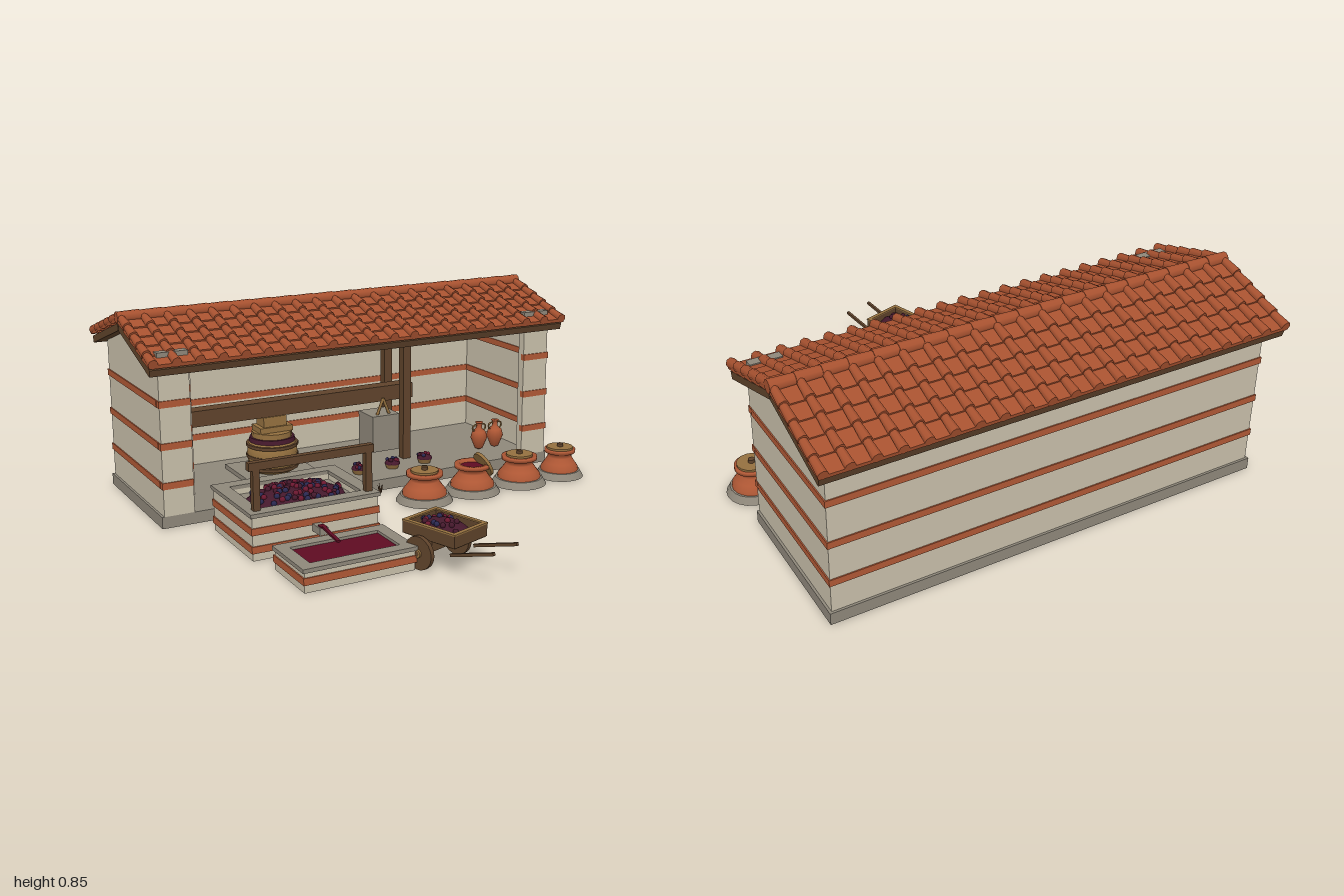
import * as THREE from 'three';

const mat = (name, color) => Object.assign(new THREE.MeshStandardMaterial({ color }), { name });
const M = {
  wall: mat('plaster', 0xc8bfaa), stone: mat('stone', 0x8e877a), tile: mat('roofTile', 0xa85230),
  clay: mat('clay', 0xb05835), dark: mat('darkWood', 0x5f432b), wood: mat('lightWood', 0x94703f),
  wine: mat('wine', 0x5e0b22), must: mat('grapeHeap', 0x45192c), blue: mat('blueGrape', 0x2a2850), red: mat('redGrape', 0x6c1830),
};

function add(parent, name, geo, material, x = 0, y = 0, z = 0) {
  const m = new THREE.Mesh(geo, material);
  m.name = name;
  m.position.set(x, y, z);
  parent.add(m);
  return m;
}
// Box given by its limits
const box = (p, name, m, x0, x1, y0, y1, z0, z1) =>
  add(p, name, new THREE.BoxGeometry(x1 - x0, y1 - y0, z1 - z0), m, (x0 + x1) / 2, (y0 + y1) / 2, (z0 + z1) / 2);
const cyl = (p, name, m, rTop, rBot, h, x, y, z, n = 16) =>
  add(p, name, new THREE.CylinderGeometry(rTop, rBot, h, n), m, x, y, z);
// Rectangular frame of four boxes
function frame(p, name, m, x0, x1, y0, y1, z0, z1, t) {
  box(p, name, m, x0, x1, y0, y1, z0, z0 + t);
  box(p, name, m, x0, x1, y0, y1, z1 - t, z1);
  box(p, name, m, x0, x0 + t, y0, y1, z0 + t, z1 - t);
  box(p, name, m, x1 - t, x1, y0, y1, z0 + t, z1 - t);
}
function group(parent, name, x = 0, y = 0, z = 0) {
  const g = new THREE.Group();
  g.name = name;
  g.position.set(x, y, z);
  parent.add(g);
  return g;
}
let seed = 7;
const rnd = () => (seed = (seed * 16807) % 2147483647) / 2147483647;

// Low-poly mound with loose grapes scattered on it
function grapes(p, x, y, z, rx, ry, rz, count, size) {
  const heap = add(p, 'grapeHeap', new THREE.SphereGeometry(1, 16, 6, 0, Math.PI * 2, 0, Math.PI / 2), M.must, x, y, z);
  heap.scale.set(rx, ry, rz);
  const geo = new THREE.IcosahedronGeometry(size, 1);
  for (let i = 0; i < count; i++) {
    const a = rnd() * Math.PI * 2, r = Math.sqrt(rnd()) * 0.92;
    add(p, 'grape', geo, [M.blue, M.red, M.must][i % 3],
      x + rx * r * Math.cos(a), y + ry * Math.sqrt(1 - r * r) + size * 0.3, z + rz * r * Math.sin(a));
  }
}

const BANDS = [0.18, 0.345, 0.52];

function buildHouse(root) {
  const g = group(root, 'house');
  box(g, 'plinth', M.stone, -0.95, 0.95, 0, 0.05, -0.89, -0.22);
  box(g, 'backWall', M.wall, -0.94, 0.94, 0.05, 0.67, -0.88, -0.83);
  // Gable outline in z and y
  const s = new THREE.Shape([[0.24, 0.05], [0.88, 0.05], [0.88, 0.67], [0.56, 0.775], [0.24, 0.67]]
    .map(([z, y]) => new THREE.Vector2(z, y)));
  const gable = new THREE.ExtrudeGeometry(s, { depth: 0.05, bevelEnabled: false });
  gable.rotateY(Math.PI / 2);
  for (const k of [-1, 1]) {
    add(g, 'gableWall', gable, M.wall, k > 0 ? 0.89 : -0.94);
    const [a, b] = k > 0 ? [0.81, 0.94] : [-0.94, -0.81];
    box(g, 'frontReturn', M.wall, a, b, 0.05, 0.7, -0.26, -0.22);
    box(g, 'returnCap', M.stone, a, b, 0.7, 0.73, -0.26, -0.222);
  }
  box(g, 'beamPier', M.wall, -0.89, -0.73, 0.05, 0.67, -0.66, -0.43);
  // Brick courses
  for (const y of BANDS) {
    const y0 = y - 0.014, y1 = y + 0.014;
    box(g, 'brickBand', M.clay, -0.945, 0.945, y0, y1, -0.885, -0.825);
    box(g, 'brickBand', M.clay, -0.89, -0.732, y0, y1, -0.5, -0.425);
    for (const k of [-1, 1]) {
      box(g, 'brickBand', M.clay, k * 0.915 - 0.03, k * 0.915 + 0.03, y0, y1, -0.83, -0.245);
      box(g, 'brickBand', M.clay, k * 0.877 - 0.067, k * 0.877 + 0.067, y0, y1, -0.24, -0.215);
    }
  }
}

function buildRoof(root) {
  const roof = group(root, 'roof', 0, 0.765, -0.56);
  const rows = 5, len = 0.394, step = len / rows;
  const roll = new THREE.CylinderGeometry(0.021, 0.016, step + 0.012, 8).rotateX(Math.PI / 2);
  for (const side of [0, Math.PI]) {
    const turn = group(roof, 'roofSide');
    turn.rotation.y = side;
    const slope = group(turn, 'roofSlope');
    slope.rotation.x = 0.31;
    box(slope, 'roofBoards', M.dark, -0.985, 0.985, 0, 0.03, 0, len);
    for (let r = 0; r < rows; r++) {
      const z = (r + 0.5) * step;
      const pan = add(slope, 'tileCourse', new THREE.BoxGeometry(1.98, 0.016, step + 0.012), M.tile, 0, 0.044, z);
      pan.rotation.x = -0.08;
      for (let i = 0; i <= 20; i++) {
        const t = add(slope, 'coverTile', roll, M.tile, -0.975 + i * 0.0975, 0.056, z);
        t.rotation.x = -0.05;
      }
    }
  }
  // Ridge tiles
  for (let i = 0; i < 20; i++) {
    const t = cyl(roof, 'ridgeTile', M.tile, 0.027, 0.024, 0.1, -0.9425 + i * 0.0992, 0.055, 0, 10);
    t.rotation.z = -Math.PI / 2;
  }
}

function buildPress(root) {
  const g = group(root, 'leverPress');
  box(g, 'pressBeam', M.dark, -0.76, 0.39, 0.32, 0.39, -0.585, -0.515);
  for (const z of [-0.64, -0.46]) box(g, 'beamPost', M.dark, 0.298, 0.338, 0.05, 0.68, z - 0.02, z + 0.02);
  box(g, 'pressBed', M.stone, -0.48, -0.15, 0.05, 0.07, -0.71, -0.39);
  box(g, 'pressSpout', M.stone, -0.36, -0.27, 0.05, 0.065, -0.39, -0.31);
  // Slatted basket
  const prof = [[0, 0.07], [0.095, 0.07], [0.115, 0.135], [0.105, 0.205], [0, 0.205]].map(([x, y]) => new THREE.Vector2(x, y));
  add(g, 'pressBasket', new THREE.LatheGeometry(prof, 16), M.wood, -0.315, 0, -0.55);
  for (const y of [0.09, 0.14, 0.19]) cyl(g, 'basketHoop', M.dark, 0.117, 0.117, 0.014, -0.315, y, -0.55);
  cyl(g, 'pomace', M.must, 0.1, 0.104, 0.02, -0.315, 0.215, -0.55);
  cyl(g, 'pressLid', M.wood, 0.09, 0.09, 0.025, -0.315, 0.237, -0.55);
  box(g, 'pressBlock', M.wood, -0.39, -0.235, 0.25, 0.275, -0.6, -0.5);
  box(g, 'pressBlock', M.wood, -0.37, -0.26, 0.275, 0.32, -0.59, -0.51);
  // Hanging counterweight
  box(g, 'counterweight', M.stone, 0.16, 0.3, 0.09, 0.26, -0.62, -0.48);
  for (const k of [-1, 1]) {
    const r = cyl(g, 'weightRope', M.wood, 0.007, 0.007, 0.09, 0.23 + k * 0.017, 0.292, -0.51, 6);
    r.rotation.z = k * 0.4;
  }
  // Grape baskets and storage jars on the floor
  for (const x of [0.02, 0.19, 0.36]) {
    cyl(g, 'grapeBasket', M.wood, 0.036, 0.026, 0.025, x, 0.06, -0.35, 10);
    grapes(g, x, 0.07, -0.35, 0.036, 0.02, 0.036, 10, 0.009);
  }
  const jar = [[0, 0.05], [0.02, 0.06], [0.04, 0.11], [0.032, 0.14], [0.014, 0.155], [0.014, 0.18], [0.02, 0.185], [0, 0.185]]
    .map(([x, y]) => new THREE.Vector2(x, y));
  for (const x of [0.69, 0.78]) {
    add(g, 'amphora', new THREE.LatheGeometry(jar, 12), M.clay, x, 0, -0.4);
    for (const k of [-1, 1]) add(g, 'amphoraHandle', new THREE.TorusGeometry(0.016, 0.004, 5, 10), M.wood, x + k * 0.021, 0.158, -0.4);
  }
}

// Banded masonry vat with a stone rim
function vat(g, x0, x1, z0, z1, h, rim, bands, fill) {
  frame(g, 'vatWall', M.wall, x0 + 0.008, x1 - 0.008, 0, h - 0.016, z0 + 0.008, z1 - 0.008, rim - 0.012);
  frame(g, 'vatRim', M.stone, x0, x1, h - 0.016, h, z0, z1, rim);
  box(g, 'vatFloor', M.stone, x0 + 0.02, x1 - 0.02, 0.002, fill, z0 + 0.02, z1 - 0.02);
  for (const y of bands) frame(g, 'vatBand', M.clay, x0 + 0.003, x1 - 0.003, y - 0.014, y + 0.014, z0 + 0.003, z1 - 0.003, 0.01);
}

function buildVats(root) {
  const g = group(root, 'treadingVats');
  vat(g, -0.775, -0.22, -0.12, 0.29, 0.19, 0.058, [0.045, 0.118], 0.15);
  grapes(g, -0.497, 0.15, 0.085, 0.215, 0.045, 0.143, 100, 0.012);
  // Hand rail
  for (const x of [-0.735, -0.255]) box(g, 'railPost', M.dark, x - 0.014, x + 0.014, 0.19, 0.36, 0.231, 0.259);
  box(g, 'handRail', M.dark, -0.765, -0.233, 0.35, 0.382, 0.231, 0.259);
  // Spout and juice stream
  box(g, 'spout', M.stone, -0.518, -0.482, 0.08, 0.11, 0.285, 0.35);
  box(g, 'juice', M.wine, -0.512, -0.488, 0.109, 0.115, 0.32, 0.352);
  const j = box(g, 'juiceStream', M.wine, -0.507, -0.493, 0.1, 0.108, 0.345, 0.475);
  j.rotation.x = 0.12;
  vat(g, -0.735, -0.265, 0.388, 0.66, 0.095, 0.05, [0.045], 0.06);
  box(g, 'wineSurface', M.wine, -0.687, -0.313, 0.06, 0.084, 0.436, 0.612);
}

function buildJars(root) {
  const pts = [[0.098, 0.02], [0.096, 0.045], [0.08, 0.065], [0.062, 0.09], [0.06, 0.105], [0.08, 0.112], [0.08, 0.128], [0.055, 0.128], [0.055, 0.1]];
  const lathe = new THREE.LatheGeometry(pts.map(([x, y]) => new THREE.Vector2(x, y)), 20);
  [[0.165, 0.125], [0.41, 0.125], [0.66, 0.125], [0.885, 0.11]].forEach(([x, r], i) => {
    const g = group(root, 'buriedJar', x, 0, -0.02);
    cyl(g, 'stoneCollar', M.stone, r * 0.85, r, 0.03, 0, 0.015, 0, 20);
    const body = add(g, 'jarShoulder', lathe, M.clay);
    body.scale.set(r * 8, 1, r * 8);
    const lid = group(g, 'jarLid', 0, 0.13, 0);
    cyl(lid, 'lidBoard', M.wood, 0.06, 0.06, 0.014, 0, 0, 0, 18);
    cyl(lid, 'lidKnob', M.dark, 0.014, 0.014, 0.018, 0, 0.012, 0, 8);
    if (i === 1) {
      cyl(g, 'jarWine', M.wine, 0.056, 0.056, 0.008, 0, 0.112, 0, 18);
      lid.position.set(0.052, 0.118, 0.01);
      lid.rotation.z = -1.1;
    }
  });
}

function buildCart(root) {
  const g = group(root, 'cart', -0.143, 0, 0.65);
  g.rotation.y = 0.31;
  box(g, 'cartBed', M.wood, -0.09, 0.09, 0.115, 0.128, -0.125, 0.125);
  frame(g, 'cartSide', M.dark, -0.094, 0.094, 0.118, 0.168, -0.128, 0.128, 0.012);
  frame(g, 'cartSideTop', M.wood, -0.096, 0.096, 0.166, 0.172, -0.13, 0.13, 0.018);
  grapes(g, 0, 0.13, 0, 0.075, 0.05, 0.115, 22, 0.011);
  const axle = cyl(g, 'axle', M.dark, 0.01, 0.01, 0.25, 0, 0.066, -0.03, 8);
  axle.rotation.z = Math.PI / 2;
  box(g, 'axleBlock', M.dark, -0.06, 0.06, 0.06, 0.116, -0.05, -0.01);
  for (const k of [-1, 1]) {
    cyl(g, 'wheel', M.dark, 0.066, 0.066, 0.018, k * 0.108, 0.066, -0.03, 18).rotation.z = Math.PI / 2;
    cyl(g, 'wheelHub', M.wood, 0.017, 0.017, 0.03, k * 0.11, 0.066, -0.03, 10).rotation.z = Math.PI / 2;
    const shaft = add(g, 'shaft', new THREE.BoxGeometry(0.012, 0.012, 0.21), M.dark, k * 0.068, 0.106, 0.19);
    shaft.rotation.x = -0.28;
  }
}

// Small dry tufts beside the wall
function buildTufts(root) {
  for (const [x, z] of [[-0.31, -0.165], [0.04, -0.19]]) {
    const g = group(root, 'grassTuft', x, 0, z);
    for (let i = 0; i < 4; i++) {
      const b = add(g, 'blade', new THREE.ConeGeometry(0.005, 0.045, 4), M.dark, Math.cos(i * 1.6) * 0.008, 0.022, Math.sin(i * 1.6) * 0.008);
      b.rotation.set(Math.sin(i * 1.6) * 0.3, 0, -Math.cos(i * 1.6) * 0.3);
    }
  }
}

export function createModel() {
  seed = 7;
  const root = new THREE.Group();
  root.name = 'wineryYard';
  [buildHouse, buildRoof, buildPress, buildVats, buildJars, buildCart, buildTufts].forEach((f) => f(root));
  return root;
}
